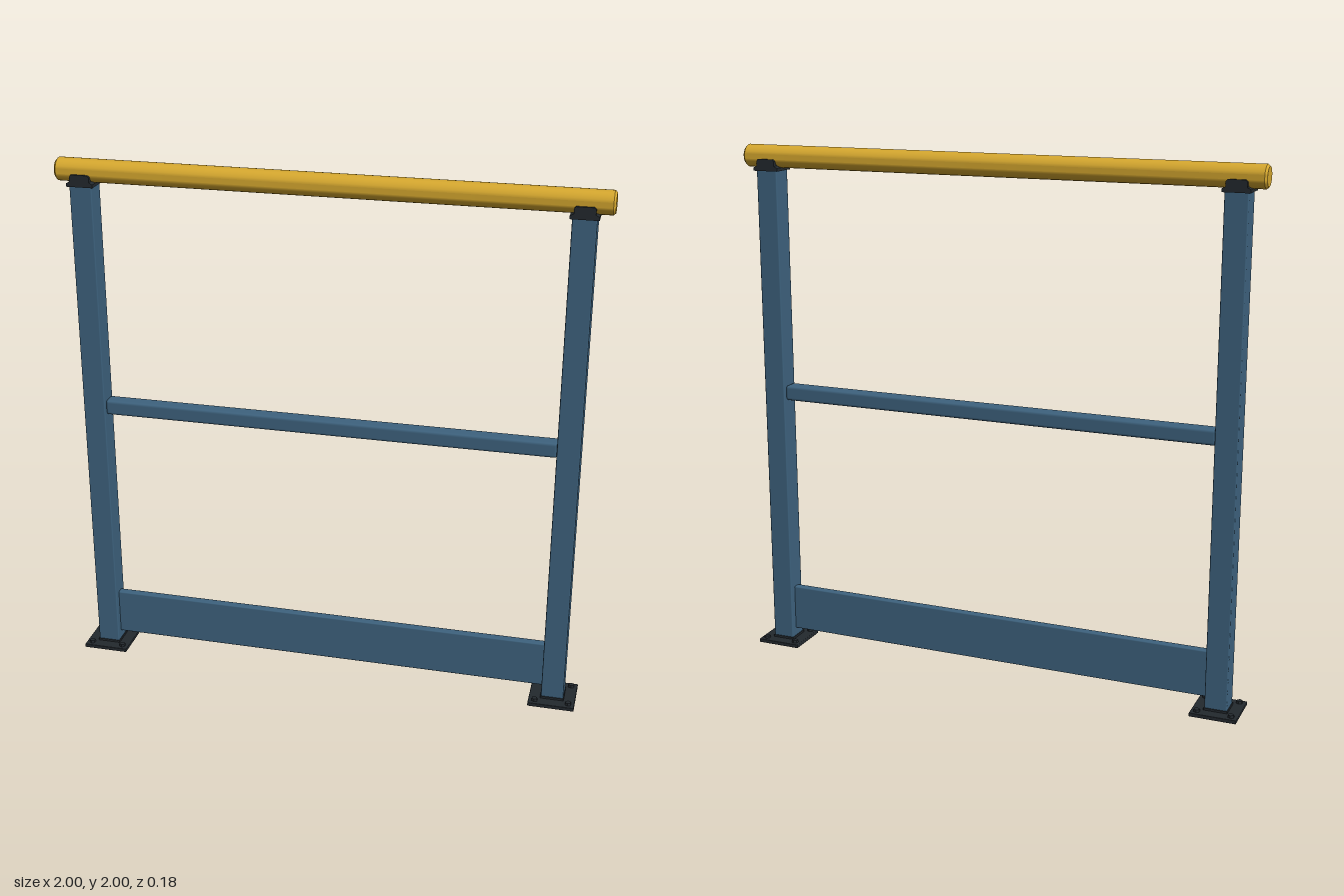
import * as THREE from 'three';
import { RoundedBoxGeometry } from 'three/addons/geometries/RoundedBoxGeometry.js';
import { toCreasedNormals } from 'three/addons/utils/BufferGeometryUtils.js';

const material = (name, color) => {
  const m = new THREE.MeshStandardMaterial({ color });
  m.name = name;
  return m;
};

export function createModel() {
  const model = new THREE.Group();
  model.name = 'guardRail';
  const blue = material('blue paint', 0x3e637f);
  const yellow = material('yellow paint', 0xd6a82f);
  const dark = material('dark metal', 0x23292e);

  const add = (parent, name, geometry, mat, x, y, z) => {
    const mesh = new THREE.Mesh(geometry, mat);
    mesh.name = name;
    mesh.position.set(x, y, z);
    parent.add(mesh);
    return mesh;
  };
  const bar = (w, h, d, r) => new RoundedBoxGeometry(w, h, d, 1, r);

  // Round handrail with chamfered ends, turned about its own axis
  const profile = [[0, -1], [0.035, -1], [0.0425, -0.992], [0.0425, 0.992], [0.035, 1], [0, 1]]
    .map(([r, y]) => new THREE.Vector2(r, y));
  const railGeometry = toCreasedNormals(new THREE.LatheGeometry(profile, 28), 0.5);
  add(model, 'handrail', railGeometry, yellow, 0, 1.9575, 0).rotation.z = Math.PI / 2;

  // Cross bars between the posts
  add(model, 'midRail', bar(1.72, 0.06, 0.06, 0.012), blue, 0, 1.045, 0);
  add(model, 'toeBoard', bar(1.72, 0.18, 0.032, 0.005), blue, 0, 0.145, 0);

  // Saddle outline seen from the front, tapering towards the top
  const saddleShape = new THREE.Shape([
    [-0.05, 1.905], [0.05, 1.905], [0.05, 1.917], [0.037, 1.924], [0.037, 1.942],
    [0.031, 1.949], [-0.031, 1.949], [-0.037, 1.942], [-0.037, 1.924], [-0.05, 1.917],
  ].map(([x, y]) => new THREE.Vector2(x, y)));
  const saddleGeometry = new THREE.ExtrudeGeometry(saddleShape, { depth: 0.1, bevelEnabled: false });
  const postGeometry = bar(0.085, 1.895, 0.085, 0.005);
  const plateGeometry = bar(0.176, 0.015, 0.176, 0.003);
  const boltGeometry = toCreasedNormals(new THREE.CylinderGeometry(0.011, 0.013, 0.011, 6), 0.5);

  for (const side of [-1, 1]) {
    const upright = new THREE.Group();
    upright.name = side > 0 ? 'leftUpright' : 'rightUpright';
    upright.position.x = side * 0.9;
    model.add(upright);

    add(upright, 'post', postGeometry, blue, 0, 0.9605, 0);
    add(upright, 'saddle', saddleGeometry, dark, 0, 0, -0.05);
    add(upright, 'basePlate', plateGeometry, dark, 0, 0.0075, 0);
    add(upright, 'collar', bar(0.09, 0.012, 0.09, 0.002), dark, 0, 0.018, 0);
    for (const bx of [-1, 1]) {
      for (const bz of [-1, 1]) {
        add(upright, 'bolt', boltGeometry, dark, bx * 0.064, 0.0195, bz * 0.064);
      }
    }
  }
  return model;
}
